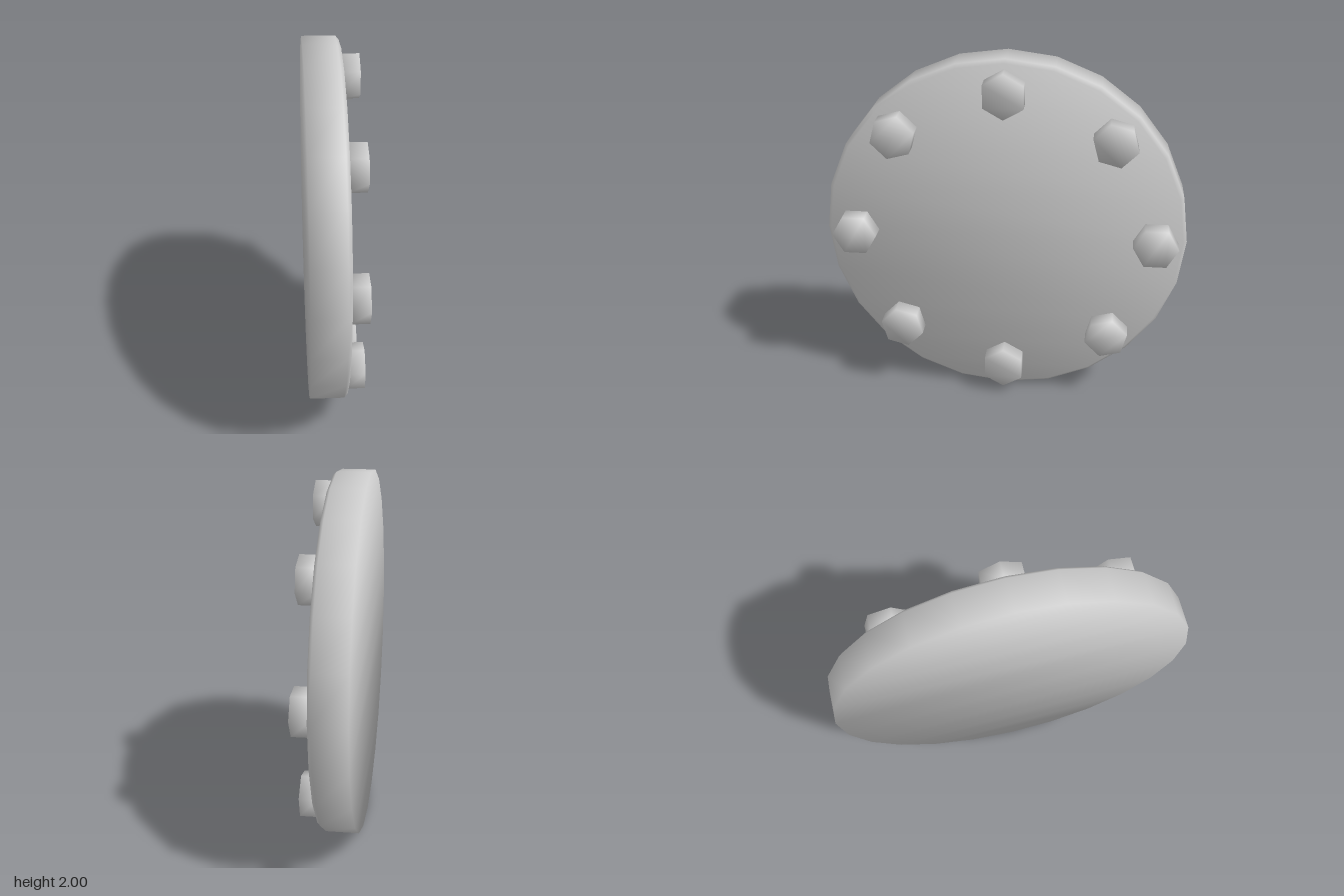
import * as THREE from 'three';

const material = new THREE.MeshStandardMaterial({ color: 0xcccccc });

// Closed prism along x with soft shading shared by walls and caps.
// Each ring is [x, radius, tilt of its normal away from +x in degrees].
function softPrism(rings, sides) {
  const positions = [], normals = [], index = [];
  for (const [x, r, tilt] of rings) {
    const t = THREE.MathUtils.degToRad(tilt);
    for (let j = 0; j < sides; j++) {
      const a = (j / sides) * Math.PI * 2;
      positions.push(x, r * Math.cos(a), r * Math.sin(a));
      normals.push(Math.cos(t), Math.sin(t) * Math.cos(a), Math.sin(t) * Math.sin(a));
    }
  }
  // Walls
  for (let i = 0; i < rings.length - 1; i++) {
    for (let j = 0; j < sides; j++) {
      const k = (j + 1) % sides;
      const a = i * sides + j, b = i * sides + k;
      index.push(a, b, a + sides, b, b + sides, a + sides);
    }
  }
  // Flat caps, each a zigzag strip from rim to rim
  const front = (rings.length - 1) * sides;
  let lo = 0, hi = sides - 1;
  for (let n = 0; n < sides - 2; n++) {
    const mid = n % 2 ? hi - 1 : lo + 1;
    index.push(front + lo, front + mid, front + hi);
    index.push(lo, hi, mid);
    if (n % 2) hi--; else lo++;
  }
  const geometry = new THREE.BufferGeometry();
  geometry.setAttribute('position', new THREE.Float32BufferAttribute(positions, 3));
  geometry.setAttribute('normal', new THREE.Float32BufferAttribute(normals, 3));
  geometry.setIndex(index);
  return geometry;
}

export function createModel() {
  const model = new THREE.Group();
  model.name = 'boltedCover';

  // Round plate with a small bevel on the bolted side
  const plate = new THREE.Mesh(
    softPrism([[-0.146, 1, 133], [0.034, 1, 67.5], [0.053, 0.98, 23.5]], 24),
    material
  );
  plate.name = 'plate';
  plate.position.y = 1;
  model.add(plate);

  // Eight hexagonal bolt heads, one corner pointing outward
  const boltGeometry = softPrism([[0.05, 0.123, 124], [0.146, 0.123, 56]], 6);
  const boltCount = 8, boltCircle = 0.83;
  for (let i = 0; i < boltCount; i++) {
    const a = (i / boltCount) * Math.PI * 2;
    const bolt = new THREE.Mesh(boltGeometry, material);
    bolt.name = `boltHead${i + 1}`;
    bolt.position.set(0, 1 + boltCircle * Math.cos(a), boltCircle * Math.sin(a));
    bolt.rotation.x = a;
    model.add(bolt);
  }
  return model;
}
